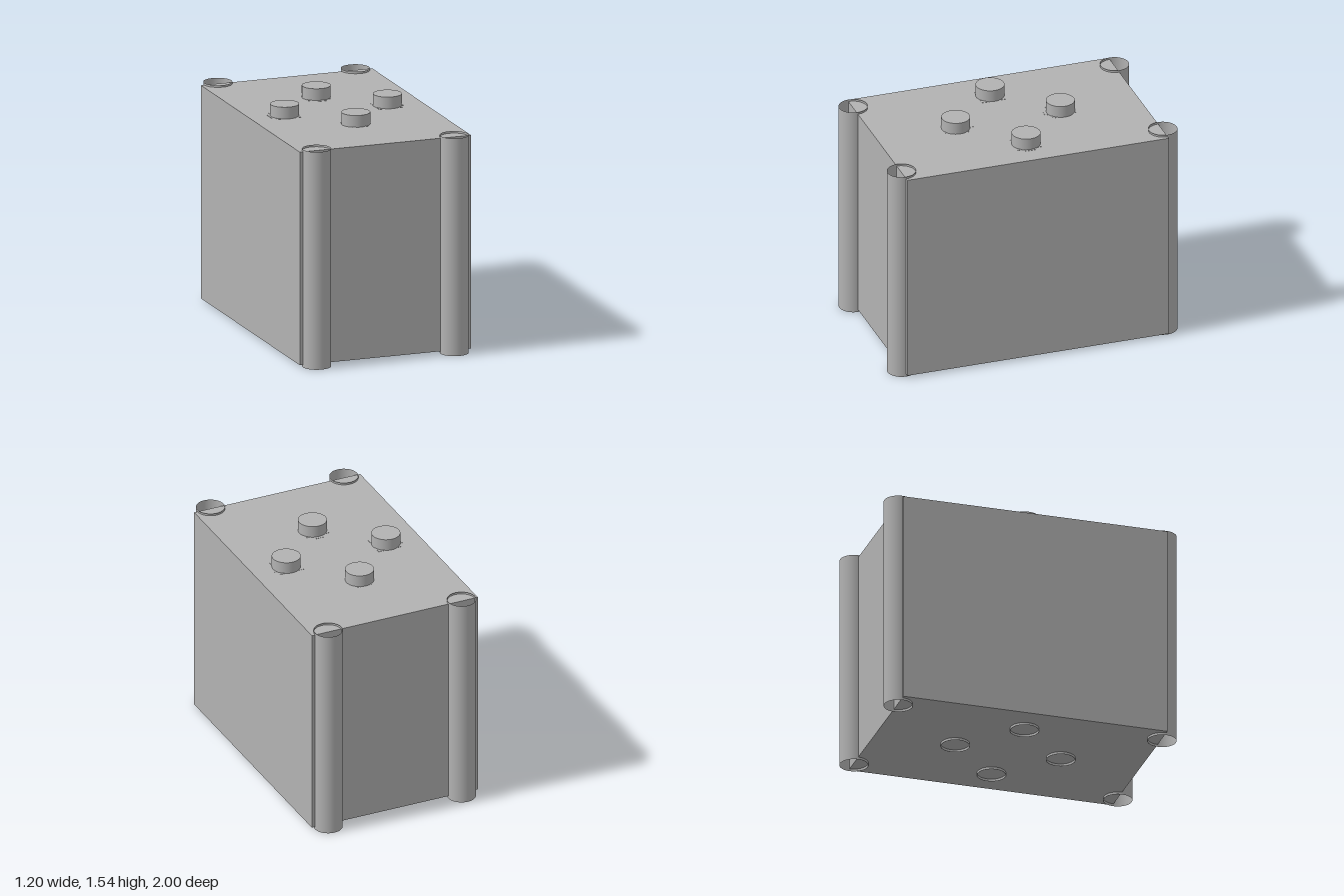
import * as THREE from 'three';

export function createModel() {
  const model = new THREE.Group();
  model.name = 'cellBlock';
  const grey = new THREE.MeshStandardMaterial({ color: 0xb2b2b2, side: THREE.DoubleSide });
  grey.name = 'plain grey';

  const add = (name, geometry, x, y, z, parent = model) => {
    const mesh = new THREE.Mesh(geometry, grey);
    mesh.name = name;
    mesh.position.set(x, y, z);
    parent.add(mesh);
    return mesh;
  };

  // Main block, lifted slightly off the ground
  const bottom = 0.017, top = 1.46;
  add('body', new THREE.BoxGeometry(1.2, top - bottom, 1.81), 0, (top + bottom) / 2, 0);

  // Open tubes half sunk into the front and back walls near the corners
  const tube = new THREE.CylinderGeometry(0.095, 0.095, 1.474, 48, 1, true);
  for (const x of [-0.482, 0.482])
    for (const z of [-0.905, 0.905]) add('cornerTube', tube, x, 0.737, z);

  // Four pegs through the block in a diamond, capped on top and open below
  const peg = new THREE.LatheGeometry([
    new THREE.Vector2(0.095, 0), new THREE.Vector2(0.095, 1.54)], 48);
  const cap = new THREE.CircleGeometry(0.095, 48).rotateX(-Math.PI / 2);
  // Thin seat plates around the pegs; tabs point out on the sides, in at front and back
  const seat = new THREE.BoxGeometry(0.17, 0.003, 0.168);
  const tab = new THREE.BoxGeometry(0.03, 0.003, 0.08);
  const narrowTab = new THREE.BoxGeometry(0.056, 0.003, 0.035);
  const narrowSeat = new THREE.BoxGeometry(0.11, 0.003, 0.09);
  const wideSeat = new THREE.BoxGeometry(0.17, 0.003, 0.09);
  for (const s of [-1, 1]) {
    for (const [x, z] of [[s * 0.36, 0], [0, s * 0.362]]) {
      add('peg', peg, x, 0, z);
      add('pegCap', cap, x, 1.54, z);
    }
    add('sideSeat', seat, s * 0.355, top, 0);
    add('sideTab', tab, s * 0.452, top, 0);
    add('endSeatOuter', narrowSeat, 0, top, s * 0.408);
    add('endSeatInner', wideSeat, 0, top, s * 0.33);
    add('endTab', narrowTab, 0, top, s * 0.264);
  }
  return model;
}
